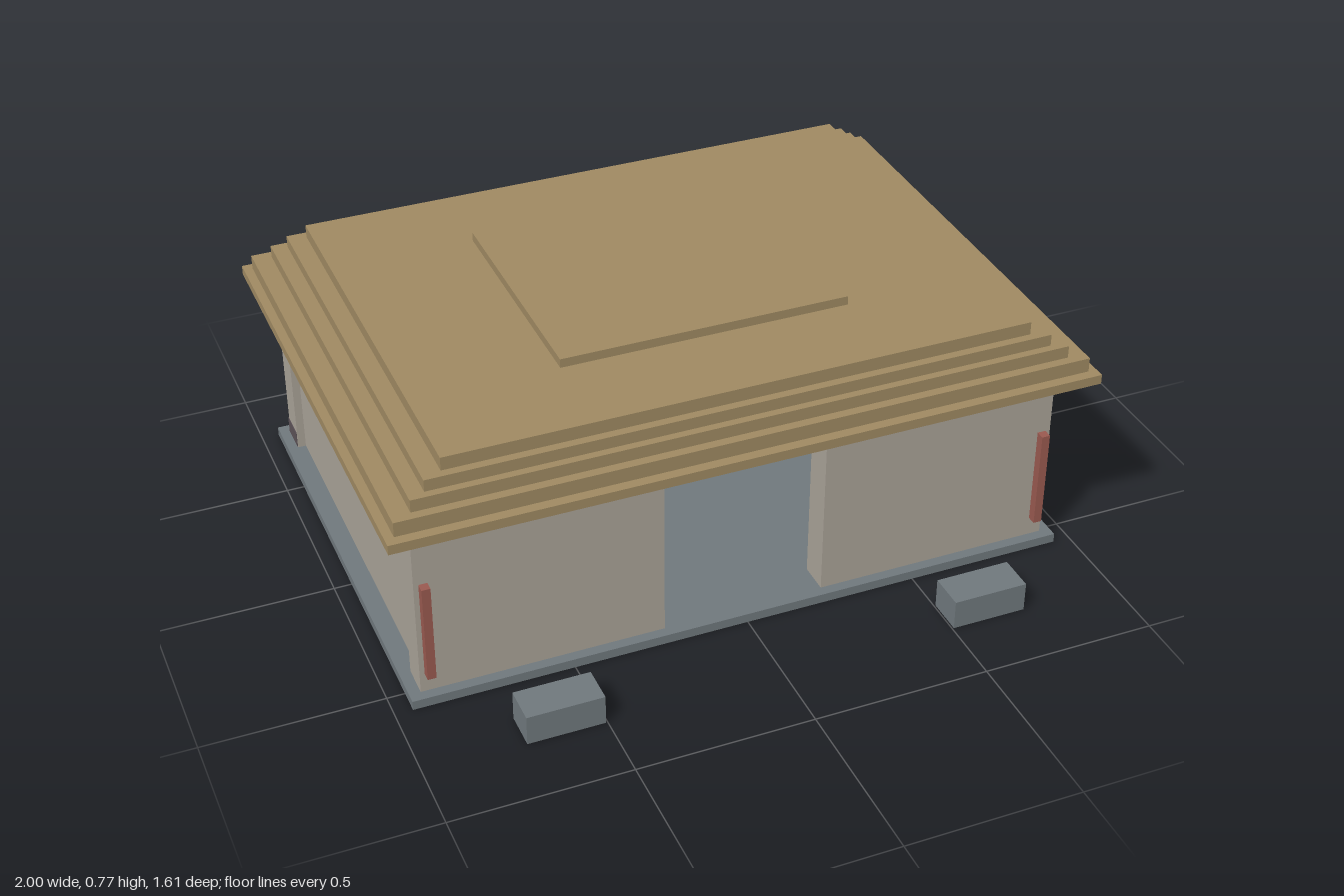
import * as THREE from 'three';

const mat = (color) => new THREE.MeshStandardMaterial({ color });
const thatch = mat(0xa08a62), plaster = mat(0xaaa398), stone = mat(0x70797d);
const darkWood = mat(0x5c5257), wood = mat(0x856b5a), red = mat(0x9a5a50);

export function createModel() {
  const model = new THREE.Group();

  // Box given by its extents along each axis
  const box = (name, material, [x0, x1], [y0, y1], [z0, z1]) => {
    const mesh = new THREE.Mesh(new THREE.BoxGeometry(x1 - x0, y1 - y0, z1 - z0), material);
    mesh.position.set((x0 + x1) / 2, (y0 + y1) / 2, (z0 + z1) / 2);
    mesh.name = name;
    model.add(mesh);
  };
  // Same box on the left and mirrored on the right
  const pair = (name, material, [x0, x1], y, z) => {
    box(name + 'Left', material, [x0, x1], y, z);
    box(name + 'Right', material, [-x1, -x0], y, z);
  };

  // Floor slab and loose stepping blocks in front
  box('floorSlab', stone, [-0.95, 0.95], [0, 0.027], [-0.79, 0.57]);
  pair('frontBlock', stone, [0.505, 0.72], [0, 0.087], [0.7, 0.807]);

  // Hollow walls: side walls sit slightly inside the front and back ones
  const wallY = [0.027, 0.542];
  box('backWall', plaster, [-0.92, 0.916], wallY, [-0.755, -0.665]);
  pair('sideWall', plaster, [0.81, 0.897], wallY, [-0.665, 0.45]);
  pair('frontWall', plaster, [0.232, 0.918], wallY, [0.45, 0.54]);

  // Timber sill along the foot of the back wall
  box('backSill', darkWood, [-0.922, 0.922], [0.027, 0.077], [-0.758, -0.67]);

  // Roof beams: two run front to back, two run across
  pair('longBeam', darkWood, [0.682, 0.727], [0.539, 0.567], [-0.797, 0.58]);
  box('frontCrossBeam', wood, [-0.92, 0.92], [0.54, 0.567], [0.405, 0.455]);
  box('backCrossBeam', wood, [-0.92, 0.92], [0.54, 0.567], [-0.672, -0.625]);

  // Red posts on the front corners
  pair('redPost', red, [0.88, 0.904], [0.083, 0.375], [0.54, 0.566]);

  // Stepped roof: half width, bottom, top, back, front
  const layers = [
    [1.0, 0.567, 0.595, -0.807, 0.639],
    [0.975, 0.595, 0.637, -0.782, 0.61],
    [0.922, 0.637, 0.673, -0.754, 0.584],
    [0.878, 0.673, 0.707, -0.732, 0.562],
    [0.826, 0.707, 0.745, -0.706, 0.538],
    [0.413, 0.745, 0.771, -0.442, 0.27],
  ];
  layers.forEach(([hw, y0, y1, z0, z1], i) =>
    box('roofLayer' + (i + 1), thatch, [-hw, hw], [y0, y1], [z0, z1]));

  return model;
}
